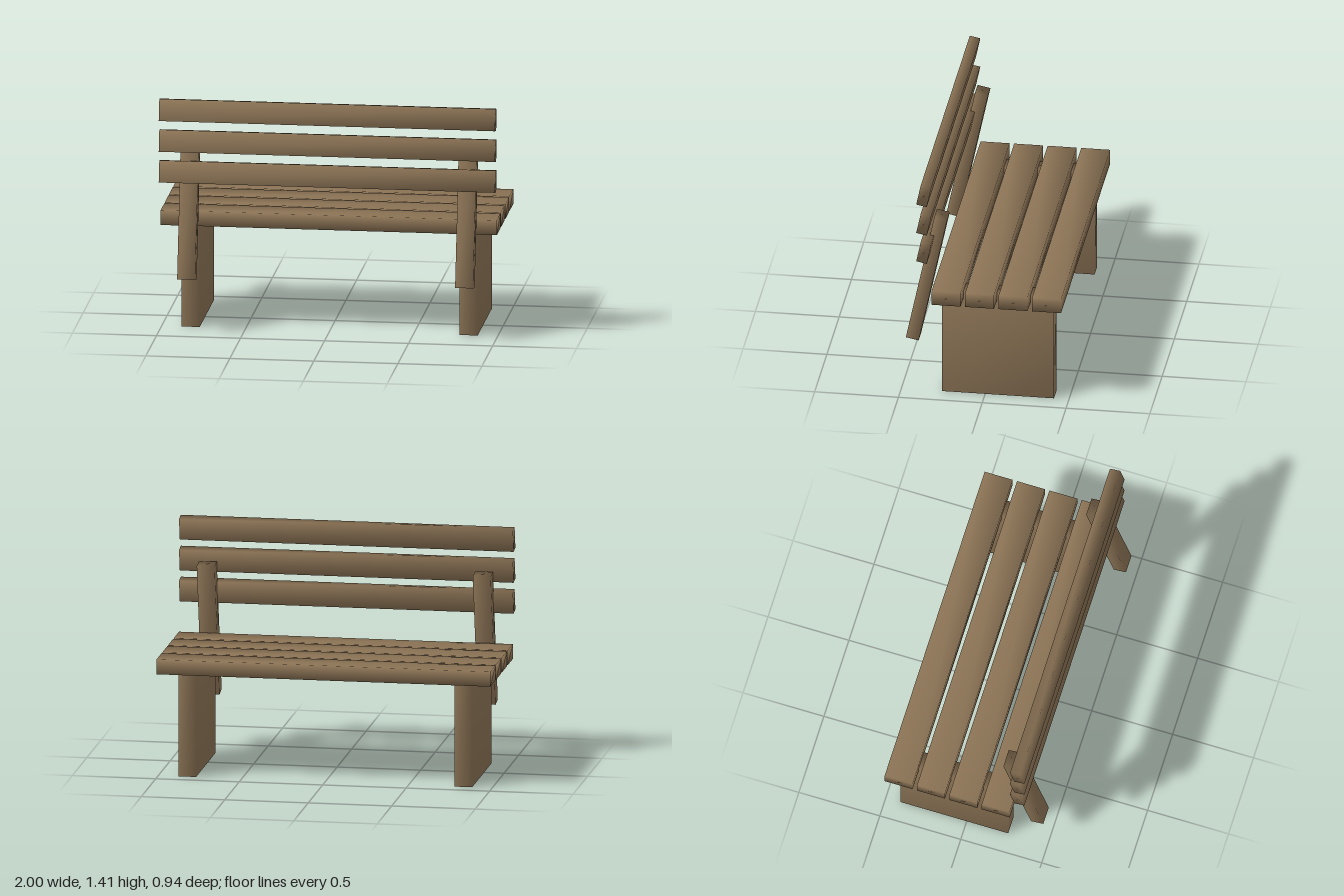
import * as THREE from 'three';
import { mergeVertices } from 'three/addons/utils/BufferGeometryUtils.js';

const wood = new THREE.MeshStandardMaterial({ color: 0x8b7355 });
const TILT = -0.208; // backward lean of the backrest

// Plank with corner-shared normals for a soft, rounded shading
function plank(name, size, position, tilt = 0) {
  const box = new THREE.BoxGeometry(...size);
  box.deleteAttribute('uv');
  box.deleteAttribute('normal');
  const geometry = mergeVertices(box);
  geometry.computeVertexNormals();
  const mesh = new THREE.Mesh(geometry, wood);
  mesh.name = name;
  mesh.position.set(...position);
  mesh.rotation.x = tilt;
  return mesh;
}

export function createModel() {
  const bench = new THREE.Group();
  bench.name = 'bench';

  // Seat: four evenly spaced slats
  for (let i = 0; i < 4; i++) {
    bench.add(plank('seatSlat', [2, 0.09, 0.173], [0, 0.67, 0.216 - i * 0.2]));
  }

  // Backrest: three tilted slats stacked vertically
  for (let i = 0; i < 3; i++) {
    bench.add(plank('backSlat', [2, 0.131, 0.064], [0, 0.963 + i * 0.187, 0.349], TILT));
  }

  // Slab legs and leaning back posts, mirrored
  for (const side of [-1, 1]) {
    bench.add(plank('leg', [0.107, 0.67, 0.667], [side * 0.827, 0.335, -0.077]));
    bench.add(plank('backPost', [0.107, 0.825, 0.078], [side * 0.827, 0.735, 0.35], TILT));
  }

  return bench;
}
